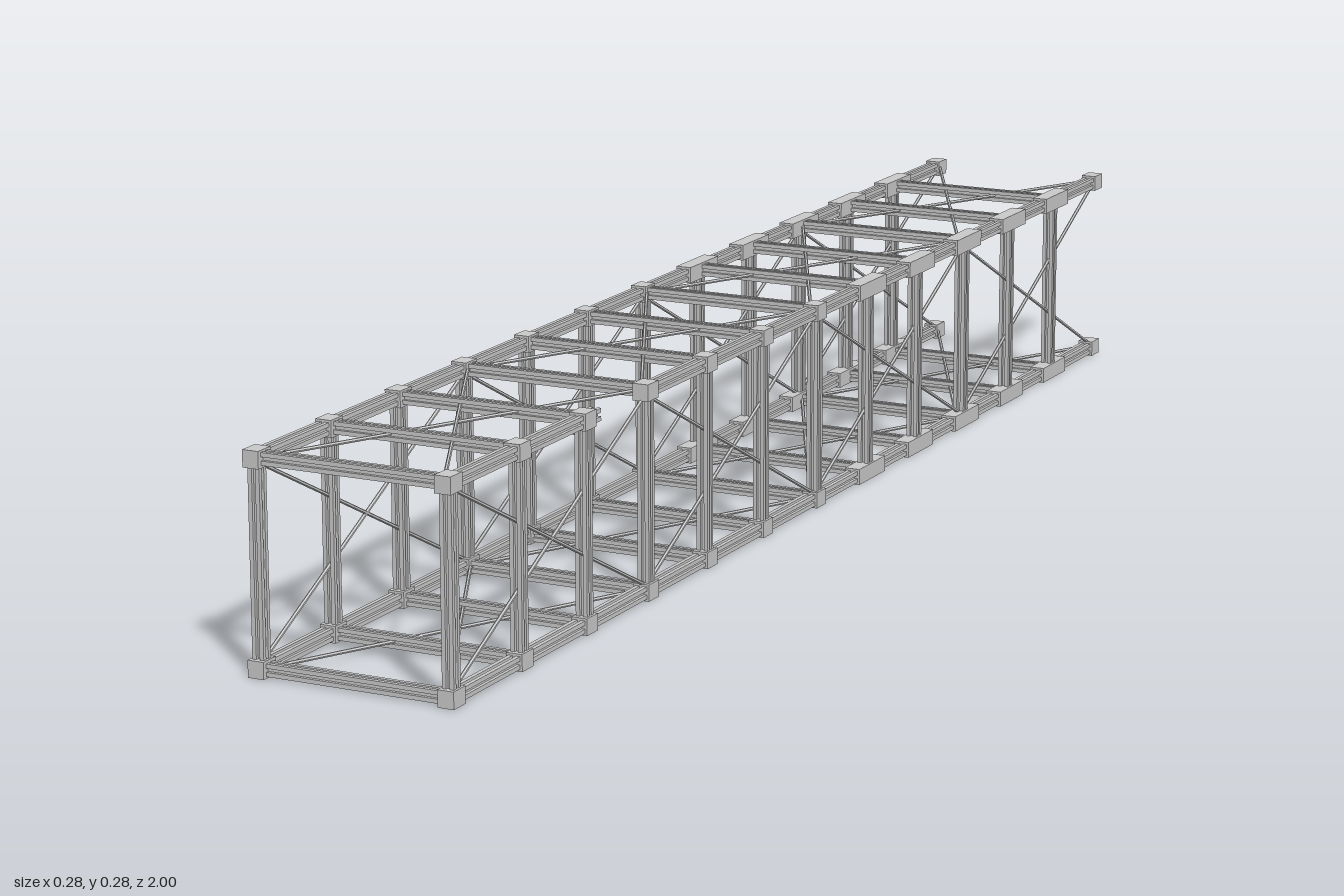
import * as THREE from 'three';

const HALF = 0.13;            // chord centre distance from the truss axis
const MID_Y = 0.1405;         // height of the truss axis
const BAYS = 12;
const PITCH = 0.1645;
const FRONT = 0.986;
const stationZ = (i) => FRONT - i * PITCH;

const material = new THREE.MeshStandardMaterial({ color: 0xcccccc, flatShading: true });

// Square bar section with a groove along each face
function groovedSection(w) {
  const h = w / 2, g = w * 0.15, d = w * 0.27;
  const side = [[h, -h], [h, -g], [h - d, -g], [h - d, g], [h, g]];
  const points = [];
  for (let k = 0; k < 4; k++) {
    for (const [x, y] of side) {
      const p = new THREE.Vector2(x, y);
      points.push(p.rotateAround(new THREE.Vector2(), k * Math.PI / 2));
    }
  }
  return new THREE.Shape(points);
}

const section = groovedSection(0.016);

// Grooved bar along z, centred on its own origin
function barGeometry(length) {
  return new THREE.ExtrudeGeometry(section, { depth: length, bevelEnabled: false })
    .translate(0, 0, -length / 2);
}

function add(parent, name, geometry, x, y, z) {
  const mesh = new THREE.Mesh(geometry, material);
  mesh.name = name;
  mesh.position.set(x, y, z);
  parent.add(mesh);
  return mesh;
}

// Thin round rod between two points
function addRod(parent, a, b) {
  const dir = b.clone().sub(a);
  const rod = add(parent, 'braceRod', new THREE.CylinderGeometry(0.0025, 0.0025, dir.length(), 6), 0, 0, 0);
  rod.position.copy(a).add(b).multiplyScalar(0.5);
  rod.quaternion.setFromUnitVectors(new THREE.Vector3(0, 1, 0), dir.normalize());
}

export function createModel() {
  const truss = new THREE.Group();
  truss.name = 'truss';
  const chords = new THREE.Group();
  chords.name = 'chords';
  const frames = new THREE.Group();
  frames.name = 'crossFrames';
  const braces = new THREE.Group();
  braces.name = 'diagonalBraces';
  truss.add(chords, frames, braces);

  const chordBay = barGeometry(PITCH);
  const stub = barGeometry(0.04);
  const shortSleeve = new THREE.BoxGeometry(0.022, 0.022, 0.028);
  const longSleeve = new THREE.BoxGeometry(0.022, 0.022, 0.085);
  const crossBar = barGeometry(2 * HALF - 0.016);

  // Four corner chords with a sleeve at every station
  for (const sx of [-1, 1]) {
    for (const sy of [-1, 1]) {
      const x = sx * HALF, y = MID_Y + sy * (HALF - 0.0005);
      for (let i = 0; i < BAYS; i++) {
        // The upper left chord is open in its third bay
        const open = sx > 0 && sy > 0 && i === 2;
        if (open) add(chords, 'chordStub', stub, x, y, stationZ(i) - 0.012);
        else add(chords, 'chord', chordBay, x, y, stationZ(i) - PITCH / 2);
      }
      for (let i = 0; i <= BAYS; i++) {
        const long = i > 6 && i < BAYS;
        add(chords, 'sleeve', long ? longSleeve : shortSleeve, x, y, stationZ(i));
      }
    }
  }

  // Square frames, with the rear end left open
  for (let i = 0; i < BAYS; i++) {
    for (const s of [-1, 1]) {
      add(frames, 'post', crossBar, s * HALF, MID_Y, stationZ(i)).rotation.x = Math.PI / 2;
      add(frames, 'crossBar', crossBar, 0, MID_Y + s * HALF, stationZ(i)).rotation.y = Math.PI / 2;
    }
  }

  // Crossed rods on all four sides, each pair spanning three bays
  const reach = 0.121;
  for (let i = 0; i < BAYS; i += 3) {
    const z0 = stationZ(i) - 0.006, z1 = stationZ(i + 3) + 0.006;
    for (const side of [-HALF, HALF]) {
      for (const d of [-reach, reach]) {
        addRod(braces, new THREE.Vector3(side, MID_Y + d, z0), new THREE.Vector3(side, MID_Y - d, z1));
        addRod(braces, new THREE.Vector3(d, MID_Y + side, z0), new THREE.Vector3(-d, MID_Y + side, z1));
      }
    }
  }
  return truss;
}
